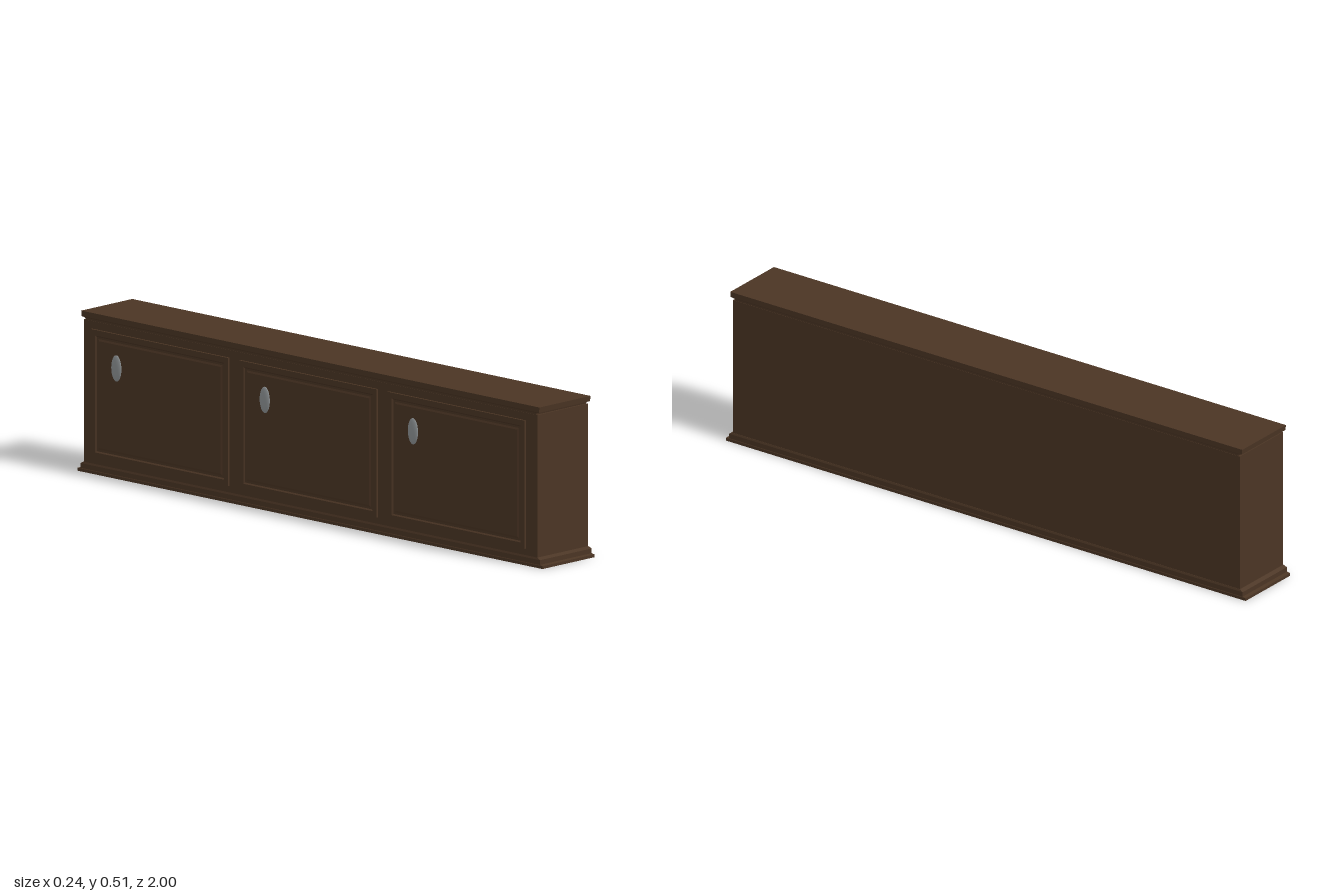
import * as THREE from 'three';

// Stack of rectangular rings [y, x0, x1, z0, z1], closed at both ends.
function loftRects(rings) {
  const pos = [];
  const loops = rings.map(([y, x0, x1, z0, z1]) => [[x0, y, z1], [x1, y, z1], [x1, y, z0], [x0, y, z0]]);
  const quad = (a, b, c, d) => pos.push(...a, ...b, ...c, ...a, ...c, ...d);
  for (let i = 0; i < loops.length - 1; i++) {
    for (let k = 0; k < 4; k++) {
      const n = (k + 1) % 4;
      quad(loops[i][k], loops[i][n], loops[i + 1][n], loops[i + 1][k]);
    }
  }
  const first = loops[0], last = loops[loops.length - 1];
  quad(first[3], first[2], first[1], first[0]);
  quad(...last);
  const geo = new THREE.BufferGeometry();
  geo.setAttribute('position', new THREE.Float32BufferAttribute(pos, 3));
  geo.computeVertexNormals();
  return geo;
}

export function createModel() {
  const wood = new THREE.MeshStandardMaterial({ color: 0x4b3524 });
  wood.name = 'dark brown wood';
  const metal = new THREE.MeshStandardMaterial({ color: 0x8f9496 });
  metal.name = 'grey metal';

  const model = new THREE.Group();
  model.name = 'sideboard';
  const add = (parent, name, geo, mat) => {
    const mesh = new THREE.Mesh(geo, mat);
    mesh.name = name;
    parent.add(mesh);
    return mesh;
  };
  const level = (y, x0, x1, z) => [y, x0, x1, -z, z];

  // Stepped plinth
  add(model, 'plinth', loftRects([
    level(0, -0.113, 0.12, 1), level(0.009, -0.113, 0.12, 1),
    level(0.011, -0.112, 0.119, 0.988), level(0.026, -0.112, 0.119, 0.988),
    level(0.032, -0.11, 0.117, 0.976),
  ]), wood);

  // Cabinet body
  add(model, 'body', loftRects([
    level(0.03, -0.11, 0.116, 0.975), level(0.484, -0.11, 0.116, 0.975),
  ]), wood);

  // Moulded top with a recessed neck
  add(model, 'top', loftRects([
    level(0.483, -0.109, 0.115, 0.968), level(0.49, -0.109, 0.115, 0.97),
    level(0.493, -0.111, 0.117, 0.983), level(0.51, -0.111, 0.117, 0.985),
  ]), wood);

  // Three panelled doors along the -x face, each with an oval pull
  for (const z of [-0.643, -0.005, 0.632]) {
    const door = new THREE.Group();
    door.name = 'door';
    door.position.z = z;
    const ring = (depth, inset) =>
      [depth, 0.053 + inset, 0.46 - inset, -0.295 + inset, 0.295 - inset];
    const panel = loftRects([
      ring(0.105, 0), ring(0.117, 0), ring(0.117, 0.018),
      ring(0.113, 0.022), ring(0.113, 0.028), ring(0.115, 0.034),
    ]);
    panel.rotateZ(Math.PI / 2);
    add(door, 'doorPanel', panel, wood);

    const pull = add(door, 'handle', new THREE.SphereGeometry(1, 24, 16), metal);
    pull.scale.set(0.006, 0.042, 0.022);
    pull.position.set(-0.1145, 0.351, -0.187);
    model.add(door);
  }
  return model;
}
